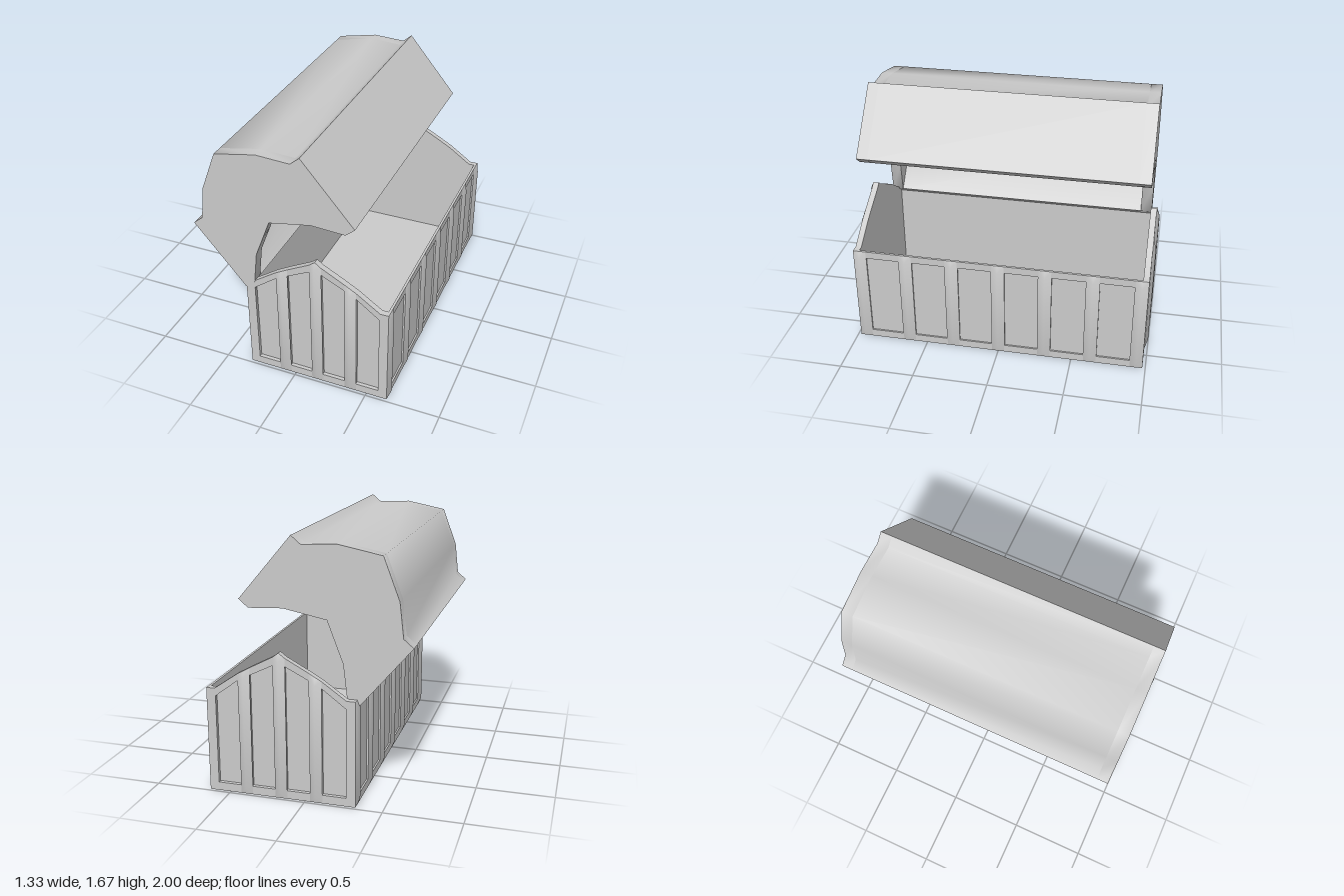
import * as THREE from 'three';
import { toCreasedNormals, mergeGeometries } from 'three/addons/utils/BufferGeometryUtils.js';

const CREASE = 1.15;
const material = new THREE.MeshStandardMaterial({ color: 0xcccccc });

function mesh(name, geometry) {
  const m = new THREE.Mesh(geometry, material);
  m.name = name;
  return m;
}

const toShape = (pts) => new THREE.Shape(pts.map(([x, y]) => new THREE.Vector2(x, y)));
const mirrorX = (pts) => pts.map(([x, y]) => [-x, y]).reverse();

// Extrude a profile between two depths, with optional holes
function slab(pts, z0, z1, holes = []) {
  const shape = toShape(pts);
  shape.holes = holes.map((h) => new THREE.Path(h.map(([x, y]) => new THREE.Vector2(x, y))));
  const g = new THREE.ExtrudeGeometry(shape, { depth: z1 - z0, bevelEnabled: false });
  g.translate(0, 0, z0);
  return toCreasedNormals(g, CREASE);
}

// Triangular upright rib with tapered ends; its top follows the wall edge
function rib(u, w, left, top, right, z) {
  const d = 0.02, e = 0.05;
  const g = new THREE.BufferGeometry();
  g.setAttribute('position', new THREE.Float32BufferAttribute([
    -w, 0, 0, w, 0, 0, w, right, 0, 0, top, 0, -w, left, 0, 0, e, d, 0, top - e, d,
  ], 3));
  g.setIndex([0, 1, 5, 1, 2, 6, 1, 6, 5, 2, 3, 6, 3, 4, 6, 4, 0, 5, 4, 5, 6]);
  g.translate(u, 0, z);
  return toCreasedNormals(g, CREASE);
}

// Wall facing +z: pierced frame, liner behind it, ribs in front
function wall(name, outline, holes, ribs, dist, frame, liner) {
  const group = new THREE.Group();
  group.name = name;
  group.add(mesh('frame', slab(outline, dist - frame, dist, holes)));
  group.add(mesh('recessedPanels', slab(outline, dist - frame - liner, dist - frame)));
  group.add(mesh('ribs', mergeGeometries(ribs.map((r) => rib(...r, dist)))));
  return group;
}

function sideWall(name) {
  const pitch = 0.3125, holes = [], ribs = [];
  for (let i = 0; i < 6; i++) {
    const c = (i - 2.5) * pitch, h = 0.111;
    holes.push([[c - h, 0.052], [c + h, 0.052], [c + h, 0.64], [c - h, 0.64]]);
  }
  for (let i = -3; i <= 3; i++) ribs.push([i * pitch, 0.042, 0.69, 0.69, 0.69]);
  return wall(name, [[-0.98, 0], [0.98, 0], [0.98, 0.69], [-0.98, 0.69]], holes, ribs, 0.4825, 0.011, 0.005);
}

function endWall(name) {
  const half = [[0.4825, 0], [0.4825, 0.69], [0.4275, 0.69], [0.27, 0.8], [0.23, 0.822], [0.19, 0.845], [0.04, 0.925]];
  const outline = [...half, [0, 0.955], ...mirrorX(half)];
  const right = [
    [[0.27, 0.055], [0.4225, 0.055], [0.4225, 0.64], [0.27, 0.755]],
    [[0.037, 0.055], [0.193, 0.055], [0.193, 0.795], [0.037, 0.873]],
  ];
  const ribs = [
    [-0.23, 0.04, 0.8, 0.822, 0.845],
    [0, 0.04, 0.925, 0.955, 0.925],
    [0.23, 0.04, 0.845, 0.822, 0.8],
  ];
  return wall(name, outline, [...right, ...right.map(mirrorX)], ribs, 0.98, 0.024, 0.016);
}

export function createModel() {
  const model = new THREE.Group();
  model.name = 'chest';

  // Box body
  const body = new THREE.Group();
  body.name = 'body';
  body.position.x = 0.1575;
  ['frontWall', 'leftWall', 'backWall', 'rightWall'].forEach((name, i) => {
    const w = i % 2 ? sideWall(name) : endWall(name);
    w.rotation.y = (i * Math.PI) / 2;
    body.add(w);
  });
  const floor = mesh('floor', new THREE.BoxGeometry(0.94, 0.055, 1.9));
  floor.position.y = 0.0275;
  body.add(floor);
  model.add(body);

  // Lid, drawn closed with the hinge at its origin, then swung open
  const lid = new THREE.Group();
  lid.name = 'lid';
  const W = 0.976, H = 0.528;
  const arch = [[0.082, 0], [0.243, 0.152], [0.489, 0.289], [0.734, 0.152], [0.896, 0]];
  const lift = (h) => arch.map(([x, y]) => [x, y + h]);
  const outer = [[W, 0], [W, H], ...lift(H).reverse(), [0, H], [0, 0]];
  const capProfile = [...outer, ...arch];
  const shellProfile = [...outer, [0.082, 0], ...lift(0.487), [0.896, 0]];
  lid.add(mesh('lidShell', slab(shellProfile, -0.862, 0.91)));
  lid.add(mesh('lidFrontEnd', slab(capProfile, 0.91, 0.985)));
  lid.add(mesh('lidBackEnd', slab(capProfile, -0.94, -0.862)));
  lid.position.set(-0.325, 0.635, 0);
  lid.rotation.z = 0.7;
  model.add(lid);

  return model;
}
